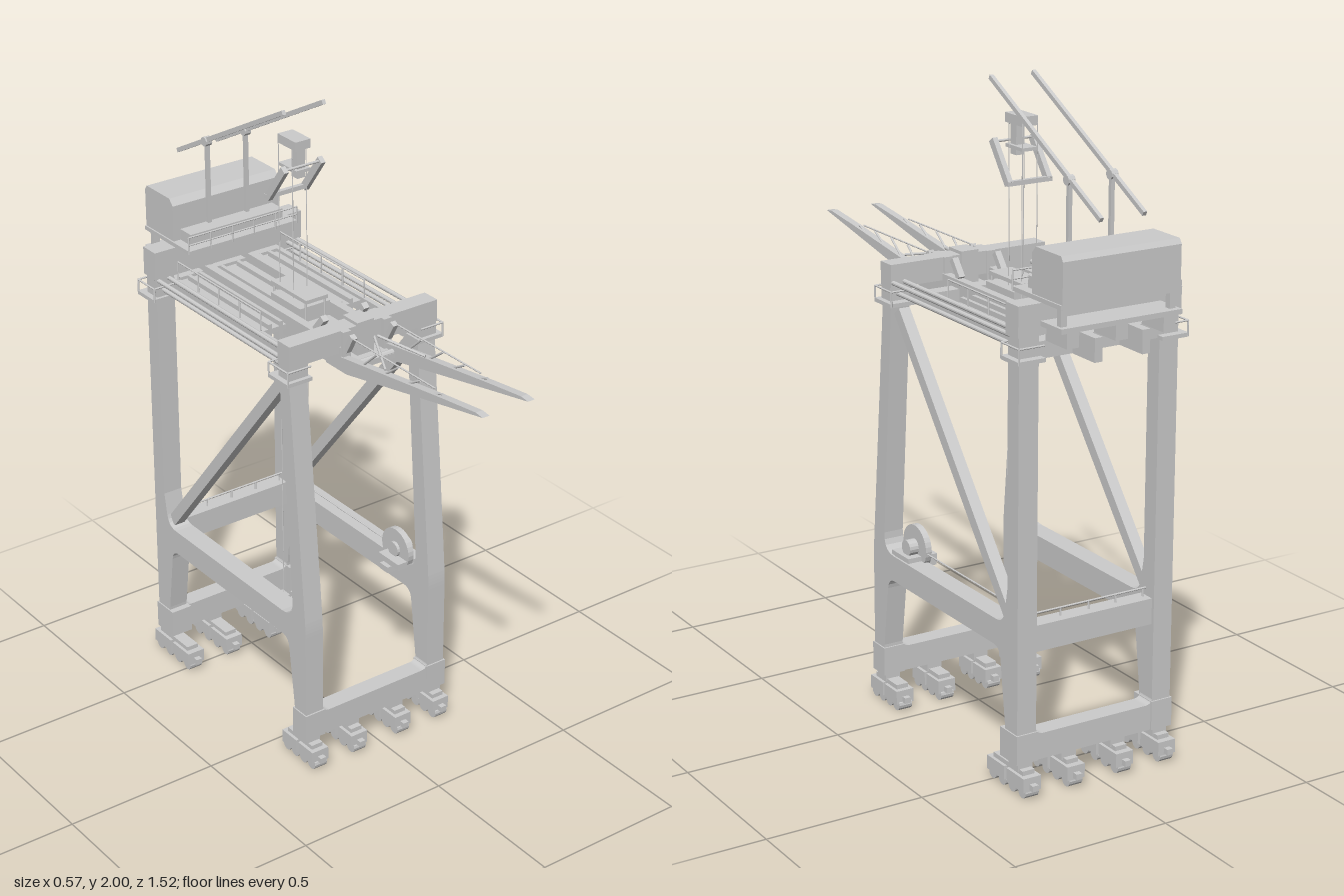
import * as THREE from 'three';

const mat = new THREE.MeshStandardMaterial({ color: 0xcccccc, flatShading: true, side: THREE.DoubleSide });

export function createModel() {
  const crane = new THREE.Group();
  crane.name = 'containerCrane';

  const add = (name, geo, x = 0, y = 0, z = 0, parent = crane) => {
    const m = new THREE.Mesh(geo, mat);
    m.name = name;
    m.position.set(x, y, z);
    parent.add(m);
    return m;
  };
  // box given by its limits on each axis
  const box = (name, x0, x1, y0, y1, z0, z1, parent) =>
    add(name, new THREE.BoxGeometry(x1 - x0, y1 - y0, z1 - z0), (x0 + x1) / 2, (y0 + y1) / 2, (z0 + z1) / 2, parent);
  // bar between two points; round if h is not given
  const bar = (name, a, b, w, h) => {
    const p = new THREE.Vector3(...a), q = new THREE.Vector3(...b), len = p.distanceTo(q);
    const geo = h ? new THREE.BoxGeometry(w, h, len) : new THREE.CylinderGeometry(w / 2, w / 2, len, 10).rotateX(Math.PI / 2);
    const m = add(name, geo, ...p.clone().add(q).multiplyScalar(0.5).toArray());
    m.lookAt(q);
    return m;
  };
  // closed outline with corners rounded by an optional third value
  const outline = (pts) => {
    const s = new THREE.Shape();
    const n = pts.length;
    pts.forEach(([x, y, r = 0], i) => {
      const c = new THREE.Vector2(x, y);
      const toward = (p) => new THREE.Vector2(p[0], p[1]).sub(c).setLength(r).add(c);
      const a = toward(pts[(i + n - 1) % n]), b = toward(pts[(i + 1) % n]);
      if (i === 0) s.moveTo(a.x, a.y); else s.lineTo(a.x, a.y);
      if (r) s.quadraticCurveTo(x, y, b.x, b.y);
    });
    return s;
  };
  // slab from a (z, y) outline, centred on x
  const sideSlab = (pts, width) =>
    new THREE.ExtrudeGeometry(outline(pts), { depth: width, bevelEnabled: false, curveSegments: 5 })
      .translate(0, 0, -width / 2).rotateY(-Math.PI / 2);

  // legs and sill girder of one side
  const frame = sideSlab([
    [0.18, 0.1], [0.18, 0.5, 0.03], [0.108, 1.3], [0.06, 1.3], [0.118, 0.51, 0.06], [-0.565, 0.51, 0.04],
    [-0.585, 0.62], [-0.585, 1.46], [-0.64, 1.46], [-0.64, 0.1], [-0.58, 0.1], [-0.575, 0.2],
    [-0.545, 0.43, 0.035], [0.09, 0.43, 0.035], [0.12, 0.2], [0.12, 0.1]], 0.064);
  const boom = sideSlab([
    [0.77, 1.418], [0.74, 1.422], [0.6, 1.405], [0.12, 1.34], [0.05, 1.34], [0.05, 1.295], [0.15, 1.295], [0.45, 1.355]], 0.024);

  for (const s of [-1, 1]) {
    const X = (a, b) => (s > 0 ? [a, b] : [-b, -a]);
    add('sideFrame', frame, s * 0.234);
    box('frontLegHead', ...X(0.202, 0.268), 1.29, 1.42, 0.06, 0.112);
    bar('diagonalBrace', [s * 0.235, 1.28, 0.05], [s * 0.235, 0.52, -0.57], 0.036, 0.036);
    for (const z of [0.17, -0.57]) box('legFoot', ...X(0.198, 0.27), 0.1, 0.19, z - 0.055 - (z < 0 ? 0.02 : 0), z + 0.015);
    // walkways around the leg heads
    for (const [z0, z1] of [[0.03, 0.125], [-0.665, -0.575]]) {
      box('headPlatform', ...X(0.195, 0.285), 1.297, 1.309, z0, z1);
      for (const y of [1.345]) {
        bar('platformRail', [s * 0.282, y, z0], [s * 0.282, y, z1], 0.006);
        for (const z of [z0, z1]) {
          bar('platformPost', [s * 0.282, 1.3, z], [s * 0.282, y, z], 0.006);
          bar('platformRail', [s * 0.2, y, z], [s * 0.282, y, z], 0.006);
        }
      }
    }
    // upper side ties
    for (const [x, y] of [[0.222, 1.365], [0.242, 1.33], [0.26, 1.365]])
      bar('upperTie', [s * x, y, 0.08], [s * x, y, -0.6], 0.014);
    // main girder, boom and catwalk
    box('mainGirder', ...X(0.066, 0.092), 1.3, 1.37, -0.75, 0.12);
    add('boom', boom, s * 0.08);
    box('boomHinge', ...X(0.06, 0.088), 1.295, 1.42, 0.05, 0.13);
    bar('boomLatch', [s * 0.074, 1.37, -0.02], [s * 0.074, 1.42, 0.02], 0.02, 0.02);
    bar('boomLatch', [s * 0.074, 1.36, 0.13], [s * 0.074, 1.415, 0.16], 0.018, 0.018);
    bar('boomStay', [s * 0.006, 1.4, 0.17], [s * 0.072, 1.37, 0.31], 0.008);
    for (let i = 0; i < 4; i++) {
      const z = 0.2 + i * 0.1;
      bar('boomStrut', [s * 0.08, 1.335 + i * 0.014, z], [s * 0.08, 1.408, z + 0.08], 0.007);
    }
    bar('boomRail', [s * 0.08, 1.412, 0.16], [s * 0.08, 1.412, 0.55], 0.005);
    box('deckEdge', ...X(0.185, 0.202), 1.3, 1.35, -0.6, 0.06);
    bar('deckRail', [s * 0.19, 1.41, -0.14], [s * 0.19, 1.41, -0.58], 0.005);
    for (let i = 0; i < 5; i++)
      bar('deckPost', [s * 0.19, 1.34, -0.14 - i * 0.11], [s * 0.19, 1.41, -0.14 - i * 0.11], 0.005);
    // rear mast with its inclined stay bar
    box('mast', ...X(0.064, 0.076), 1.37, 1.78, -0.59, -0.578);
    bar('stayBar', [s * 0.071, 1.695, -0.742], [s * 0.071, 1.995, -0.18], 0.012, 0.014);
    bar('stayPin', [s * 0.06, 1.775, -0.585], [s * 0.082, 1.775, -0.585], 0.03);
    // arms of the upper rope frame
    bar('ropeFrameArm', [s * 0.066, 1.7, -0.27], [s * 0.066, 1.815, -0.185], 0.016, 0.024);
    // hoist ropes
    for (const z of [-0.205, -0.275]) bar('hoistRope', [s * 0.025, 0.19, z], [s * 0.025, 1.87, z], 0.003);
  }

  // portal beams
  for (const [z0, z1] of [[0.12, 0.18], [-0.64, -0.58]]) {
    box('lowerPortalBeam', -0.21, 0.21, 0.1, 0.18, z0, z1);
    for (const s of [-1, 1]) {
      const g = new THREE.Shape();
      g.moveTo(0, 0).lineTo(-0.025 * s, 0).quadraticCurveTo(0, 0, 0, 0.025);
      add('cornerGusset', new THREE.ExtrudeGeometry(g, { depth: z1 - z0, bevelEnabled: false }), s * 0.203, 0.18, z0);
    }
  }
  box('rearMiddleBeam', -0.21, 0.21, 0.43, 0.51, -0.63, -0.575);
  bar('middleBeamRail', [-0.2, 0.535, -0.6], [0.2, 0.535, -0.6], 0.006);
  for (let i = -2; i <= 2; i++) bar('middleBeamPost', [i * 0.095, 0.5, -0.6], [i * 0.095, 0.535, -0.6], 0.006);
  bar('sillRail', [0.21, 0.54, -0.05], [0.21, 0.54, -0.55], 0.005);
  box('frontTopBeam', -0.268, 0.268, 1.35, 1.42, 0.055, 0.115);
  box('rearTopBeam', -0.272, 0.272, 1.37, 1.46, -0.645, -0.58);
  box('rearCrossBeam', -0.21, 0.21, 1.3, 1.35, -0.64, -0.59);

  // deck between the girders
  box('deck', -0.19, 0.19, 1.325, 1.34, -0.6, -0.15);
  box('centreWalkway', -0.08, 0.08, 1.31, 1.325, -0.15, 0.17);
  box('deckCrossBeam', -0.2, 0.2, 1.305, 1.345, -0.04, 0.005);
  for (const x of [-0.15, -0.11, -0.03, 0.03, 0.11, 0.15])
    box('deckStringer', x - 0.006, x + 0.006, 1.3, 1.355, -0.58, -0.15);
  for (const z of [-0.22, -0.34, -0.46]) box('deckSleeper', -0.19, 0.19, 1.3, 1.325, z - 0.012, z + 0.012);
  box('trolley', -0.055, 0.055, 1.345, 1.385, -0.28, -0.13);
  box('trolleyRoof', -0.04, 0.04, 1.4, 1.412, -0.3, -0.12);
  for (const x of [-0.035, 0.035]) for (const z of [-0.29, -0.13]) bar('trolleyPost', [x, 1.34, z], [x, 1.405, z], 0.008);
  box('hingeMachinery', -0.03, 0.03, 1.28, 1.43, 0.05, 0.12);
  for (const z of [0.02, 0.16]) bar('hingeShaft', [-0.08, 1.325, z], [0.08, 1.325, z], 0.02);

  // machinery house, walkway and rear platform
  add('machineryHouse', sideSlab([
    [-0.592, 1.46], [-0.592, 1.59], [-0.61, 1.61], [-0.735, 1.61], [-0.745, 1.595], [-0.745, 1.46]], 0.39));
  box('houseWalkway', -0.2, 0.2, 1.462, 1.475, -0.745, -0.5);
  box('houseAnnex', -0.17, 0.17, 1.475, 1.51, -0.595, -0.535);
  for (const y of [1.495, 1.52]) bar('walkwayRail', [-0.2, y, -0.502], [0.2, y, -0.502], 0.005);
  for (let i = 0; i < 6; i++) bar('walkwayPost', [-0.2 + i * 0.08, 1.465, -0.502], [-0.2 + i * 0.08, 1.52, -0.502], 0.005);
  box('rearPlatform', -0.2, 0.2, 1.395, 1.41, -0.748, -0.64);
  for (const x of [-0.16, 0, 0.16]) box('rearBracket', x - 0.02, x + 0.02, 1.35, 1.4, -0.745, -0.64);
  for (const x of [-0.18, 0.18]) box('housePost', x - 0.01, x + 0.01, 1.4, 1.47, -0.73, -0.71);
  box('liftLanding', 0.175, 0.2, 1.2, 1.3, -0.585, -0.562);

  // upper rope frame and spreader
  bar('ropeFrameCrossbar', [-0.075, 1.703, -0.272], [0.075, 1.703, -0.272], 0.014, 0.014);
  box('ropeFrameTop', -0.027, 0.027, 1.862, 1.89, -0.275, -0.185);
  box('ropeFrameShelf', -0.025, 0.025, 1.79, 1.8, -0.275, -0.185);
  box('ropeFrameColumn', -0.014, 0.014, 1.77, 1.865, -0.225, -0.195);
  bar('ropeFrameTie', [-0.066, 1.81, -0.19], [0.066, 1.81, -0.19], 0.008);
  box('spreader', -0.028, 0.028, 0.183, 0.192, -0.28, -0.2);

  // cable reel on the sill girder
  add('cableReel', new THREE.CylinderGeometry(0.068, 0.068, 0.02, 28).rotateZ(Math.PI / 2), 0.205, 0.545, 0.02);
  add('reelHub', new THREE.CylinderGeometry(0.025, 0.025, 0.06, 16).rotateZ(Math.PI / 2), 0.215, 0.545, 0.02);
  box('reelStand', 0.16, 0.26, 0.505, 0.525, -0.02, 0.08);
  box('reelBracket', 0.15, 0.2, 0.48, 0.5, 0.0, 0.04);

  // travel bogies, four under each portal
  for (const [zc, half, legZ] of [[0.13, 0.085, 0.15], [-0.575, 0.105, -0.61]])
    for (const x of [-0.235, -0.085, 0.085, 0.235]) {
      const bogie = new THREE.Group();
      bogie.name = 'bogie';
      crane.add(bogie);
      box('bogieNeck', x - 0.025, x + 0.025, 0.075, 0.105, legZ - 0.025, legZ + 0.025, bogie);
      box('bogieBeam', x - 0.02, x + 0.02, 0.062, 0.082, zc - half * 0.75, zc + half * 0.75, bogie);
      for (const s of [-1, 1]) {
        const z = zc + s * half * 0.5;
        box('bogieTruck', x - 0.03, x + 0.03, 0.025, 0.068, z - half * 0.44, z + half * 0.44, bogie);
        box('buffer', x - 0.01, x + 0.01, 0.03, 0.048, zc + s * half - 0.012, zc + s * half + 0.012, bogie);
        for (const t of [-1, 1])
          add('wheel', new THREE.CylinderGeometry(0.02, 0.02, 0.045, 14).rotateZ(Math.PI / 2), x, 0.02, z + t * half * 0.25, bogie);
      }
    }
  return crane;
}
